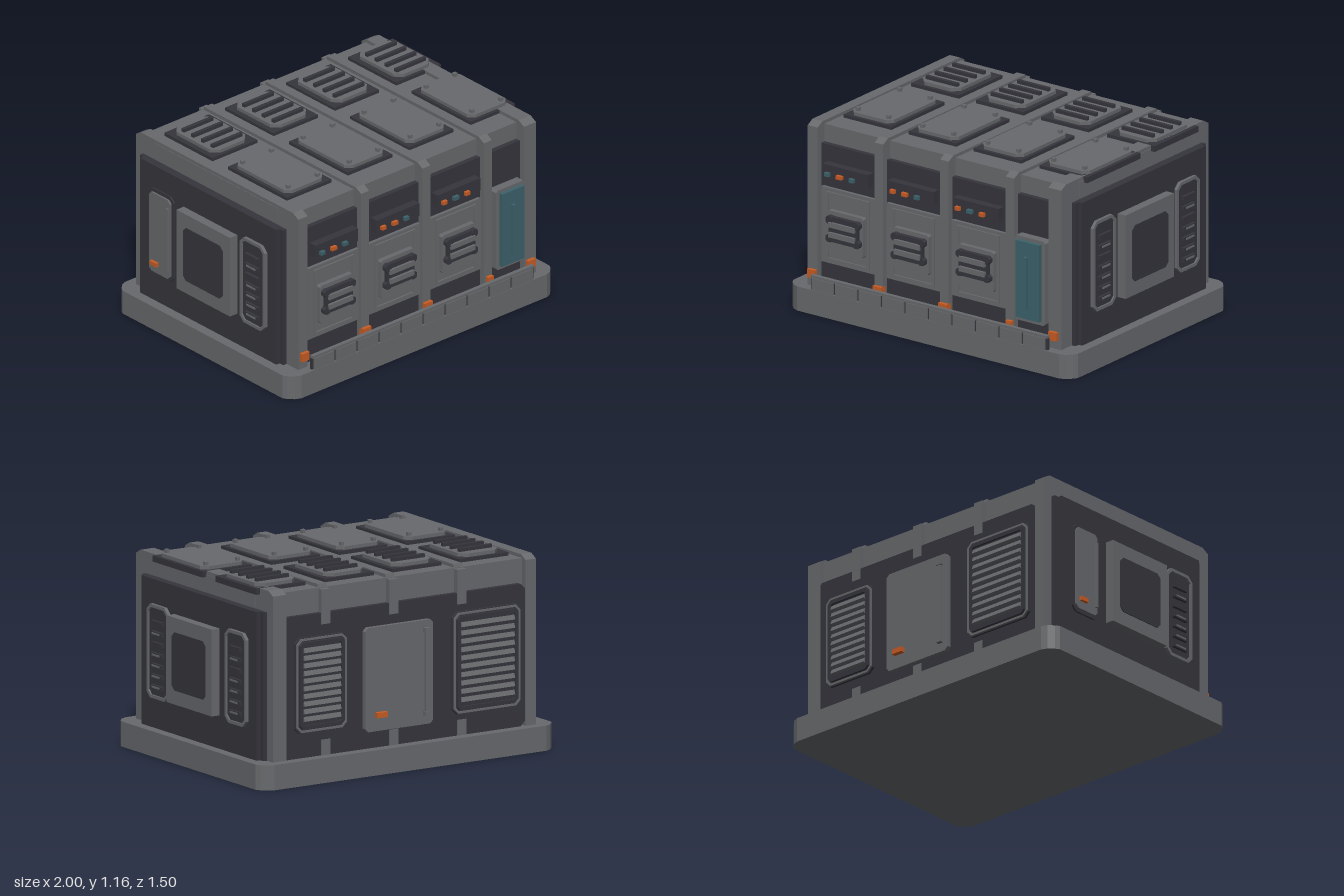
import * as THREE from 'three';

const mat = (name, color) => {
  const m = new THREE.MeshStandardMaterial({ color });
  m.name = name;
  return m;
};

// Rectangle outline with cut corners
function outline(path, w, h, c) {
  const x = w / 2, y = h / 2;
  const pts = c > 0
    ? [[-x + c, -y], [x - c, -y], [x, -y + c], [x, y - c], [x - c, y], [-x + c, y], [-x, y - c], [-x, -y + c]]
    : [[-x, -y], [x, -y], [x, y], [-x, y]];
  path.setFromPoints(pts.map(p => new THREE.Vector2(...p)));
  return path;
}

// Flat panel lying in the group's xy plane, from depth z0 to z1
function plate(group, name, material, cx, cy, w, h, z0, z1, cut = 0, border = 0) {
  const shape = outline(new THREE.Shape(), w, h, cut);
  if (border) shape.holes.push(outline(new THREE.Path(), w - 2 * border, h - 2 * border, Math.max(0, cut - border * 0.5)));
  const geo = new THREE.ExtrudeGeometry(shape, { depth: z1 - z0, bevelEnabled: false });
  const mesh = new THREE.Mesh(geo, material);
  mesh.position.set(cx, cy, z0);
  mesh.name = name;
  group.add(mesh);
  return mesh;
}

export function createModel() {
  const grey = mat('grey metal', 0x67696c);
  const dark = mat('dark panel', 0x36353c);
  const orange = mat('orange accent', 0xc85c24);
  const teal = mat('teal door', 0x3c626b);

  const model = new THREE.Group();
  model.name = 'generatorUnit';
  const face = (name, rx, ry) => {
    const g = new THREE.Group();
    g.name = name;
    g.rotation.set(rx, ry, 0);
    model.add(g);
    return g;
  };
  const front = face('frontFace', 0, 0);
  const right = face('plusXFace', 0, Math.PI / 2);
  const back = face('backFace', 0, Math.PI);
  const left = face('minusXFace', 0, -Math.PI / 2);
  const roof = face('roof', -Math.PI / 2, 0);

  // Base slab with softened corners
  const baseShape = new THREE.Shape();
  const corner = [[1, 0.68], [0.985, 0.705], [0.955, 0.735], [0.92, 0.75]];
  const ring = [];
  for (const [sx, sz] of [[1, 1], [-1, 1], [-1, -1], [1, -1]]) {
    const pts = corner.map(([x, z]) => new THREE.Vector2(x * sx, z * sz));
    ring.push(...(sx * sz > 0 ? pts : pts.reverse()));
  }
  baseShape.setFromPoints(ring);
  const base = new THREE.Mesh(new THREE.ExtrudeGeometry(baseShape, { depth: 0.145, bevelEnabled: false }), grey);
  base.rotation.x = -Math.PI / 2;
  base.name = 'base';
  model.add(base);

  // Body core
  plate(front, 'bodyCore', grey, 0, 0.625, 1.78, 0.96, -0.655, 0.625);

  // Ribs bent over the roof and down the front and back
  function rib(x, w, backZ) {
    const s = new THREE.Shape([[0.69, 0.145], [0.69, 1.1], [0.645, 1.125], [-0.645, 1.125],
      [-backZ, 1.1], [-backZ, 0.145]].map(p => new THREE.Vector2(...p)));
    const m = new THREE.Mesh(new THREE.ExtrudeGeometry(s, { depth: w, bevelEnabled: false }), grey);
    m.rotation.y = -Math.PI / 2;
    m.position.x = x + w / 2;
    m.name = 'rib';
    model.add(m);
  }
  const innerRibs = [-0.39, 0.07, 0.53];
  rib(-0.855, 0.07, 0.69);
  rib(0.845, 0.09, 0.69);
  for (const x of innerRibs) {
    rib(x, 0.06, 0.65);
    plate(back, 'backRibTop', grey, -x, 1.0, 0.06, 0.2, 0.64, 0.69);
    plate(back, 'backRibFoot', grey, -x, 0.19, 0.06, 0.09, 0.64, 0.69);
  }

  // Front: dark infill and the three equipment bays
  plate(front, 'frontInfill', dark, 0, 0.5725, 1.66, 0.855, 0.62, 0.655);
  const lights = [[teal, orange, teal], [orange, orange, teal], [orange, teal, orange]];
  [-0.615, -0.157, 0.3].forEach((x, i) => {
    plate(front, 'bayPanel', grey, x, 0.525, 0.38, 0.45, 0.65, 0.675);
    plate(front, 'bayFrame', grey, x, 0.525, 0.30, 0.41, 0.67, 0.685, 0, 0.015);
    plate(front, 'louvreBox', grey, x, 0.51, 0.25, 0.24, 0.67, 0.705, 0.01);
    plate(front, 'louvreBody', dark, x, 0.53, 0.2, 0.15, 0.70, 0.73);
    for (const sx of [-1, 1]) for (const sy of [-1, 1])
      plate(front, 'louvreCorner', dark, x + sx * 0.095, 0.53 + sy * 0.055, 0.045, 0.045, 0.70, 0.735, 0.012);
    for (const sy of [-1, 1])
      plate(front, 'louvreSlat', grey, x, 0.53 + sy * 0.03, 0.18, 0.03, 0.725, 0.745);
    plate(front, 'controlBox', dark, x, 0.86, 0.32, 0.08, 0.65, 0.705);
    lights[i].forEach((m, k) =>
      plate(front, 'indicator', m, x + (k - 1) * 0.085 - 0.033, 0.846, k === 1 ? 0.038 : 0.032, 0.022, 0.70, 0.725));
  });

  // Teal service door
  plate(front, 'serviceDoorFrame', grey, 0.683, 0.5225, 0.215, 0.505, 0.65, 0.708, 0.012);
  plate(front, 'serviceDoor', teal, 0.683, 0.525, 0.165, 0.46, 0.70, 0.732);
  plate(front, 'serviceDoorHandle', teal, 0.677, 0.515, 0.022, 0.31, 0.73, 0.75);

  // Kerb segments, rail and orange pillar feet
  for (let i = 0; i < 10; i++)
    plate(front, 'kerbSegment', grey, -0.745 + i * 0.165, 0.18, 0.15, 0.07, 0.735, 0.748);
  plate(front, 'kerbBacking', dark, 0.0, 0.18, 1.66, 0.07, 0.72, 0.737);
  plate(front, 'kerbRail', grey, 0.0, 0.224, 1.66, 0.016, 0.72, 0.745);
  for (const [x, w] of [[-0.852, 0.055], [-0.39, 0.06], [0.07, 0.06], [0.535, 0.04], [0.842, 0.055]])
    plate(front, 'pillarFoot', orange, x, 0.223, w, 0.05, 0.67, 0.712);

  // Slotted vent used on both ends
  function endVent(g, x) {
    plate(g, 'ventFill', dark, x, 0.59, 0.19, 0.52, 0.93, 0.95, 0.03);
    plate(g, 'ventRim', grey, x, 0.59, 0.215, 0.54, 0.93, 0.96, 0.035, 0.018);
    for (let i = 0; i < 7; i++) {
      plate(g, 'ventSlot', dark, x, 0.39 + i * 0.0617, 0.11, 0.022, 0.94, 0.968);
      if (i !== 4 && i !== 6) plate(g, 'ventSlat', grey, x, 0.39 + i * 0.0617, 0.075, 0.01, 0.96, 0.973);
    }
  }

  // End walls: stepped dark panel with a framed window
  for (const [g, s] of [[right, 1], [left, -1]]) {
    plate(g, 'endPanelLower', dark, s * 0.02, 0.5725, 1.22, 0.855, 0.88, 0.915);
    plate(g, 'endPanel', dark, s * 0.02, 0.5725, 1.16, 0.855, 0.91, 0.94);
    plate(g, 'windowSurround', grey, 0, 0.588, 0.455, 0.5, 0.93, 0.995);
    plate(g, 'window', dark, 0, 0.588, 0.335, 0.335, 0.993, 1.0, 0.025);
    plate(g, 'endTopTrim', grey, 0, 1.06, 1.04, 0.09, 0.87, 0.893);
  }
  endVent(right, -0.375);
  endVent(right, 0.412);
  endVent(left, 0.375);

  // Small hatch with a handle on the -x end
  plate(left, 'sideHatchRim', dark, -0.41, 0.59, 0.215, 0.54, 0.93, 0.95, 0.03);
  plate(left, 'sideHatch', grey, -0.41, 0.59, 0.18, 0.5, 0.94, 0.962, 0.02);
  plate(left, 'sideHatchHinge', grey, -0.335, 0.59, 0.015, 0.4, 0.96, 0.973);
  plate(left, 'sideHatchHandle', orange, -0.445, 0.40, 0.055, 0.025, 0.955, 0.98);

  // Back wall: dark infill, two louvred grilles and a door (local x is mirrored)
  plate(back, 'backInfill', dark, 0, 0.555, 1.64, 0.82, 0.64, 0.685, 0.03);
  for (const [x, w, h] of [[-0.57, 0.35, 0.55], [0.55, 0.46, 0.59]]) {
    plate(back, 'grilleFill', dark, x, 0.565, w, h, 0.67, 0.70, 0.03);
    plate(back, 'grilleRim', grey, x, 0.565, w - 0.01, h - 0.01, 0.69, 0.708, 0.03, 0.012);
    plate(back, 'grilleFrame', dark, x, 0.565, w - 0.05, h - 0.05, 0.69, 0.715, 0.02, 0.02);
    for (let i = 0; i < 10; i++) {
      const s = plate(back, 'grilleSlat', grey, x, 0.565 + (i - 4.5) * (h - 0.11) / 10, w - 0.1, 0.028, 0.697, 0.717);
      s.rotation.x = -0.35;
    }
  }
  plate(back, 'backDoor', grey, -0.05, 0.545, 0.46, 0.6, 0.67, 0.712, 0.02);
  plate(back, 'backDoorHinge', grey, 0.13, 0.55, 0.02, 0.46, 0.71, 0.73);
  for (const y of [0.31, 0.79]) plate(back, 'backDoorBolt', grey, 0.13, y, 0.035, 0.025, 0.71, 0.735);
  plate(back, 'backDoorHandle', orange, -0.18, 0.34, 0.07, 0.03, 0.71, 0.74);

  // Roof: a hatch and a slatted vent in each column (local y is -z)
  for (const x of [-0.625, -0.17, 0.287, 0.75]) {
    plate(roof, 'hatchSeat', dark, x, -0.232, 0.335, 0.5, 1.09, 1.125);
    plate(roof, 'hatchLid', grey, x, -0.232, 0.29, 0.46, 1.12, 1.145, 0.035);
    for (const sx of [-1, 1]) for (const sy of [-1, 1])
      plate(roof, 'hatchBolt', grey, x + sx * 0.108, -0.232 + sy * 0.195, 0.022, 0.022, 1.14, 1.165);
    plate(roof, 'ventSeat', dark, x, 0.355, 0.335, 0.41, 1.09, 1.125);
    plate(roof, 'ventLid', grey, x, 0.355, 0.27, 0.37, 1.12, 1.145, 0.045);
    for (let i = 0; i < 4; i++)
      plate(roof, 'roofSlat', dark, x, 0.22 + i * 0.083, 0.22, 0.022, 1.14, 1.165);
  }
  return model;
}
